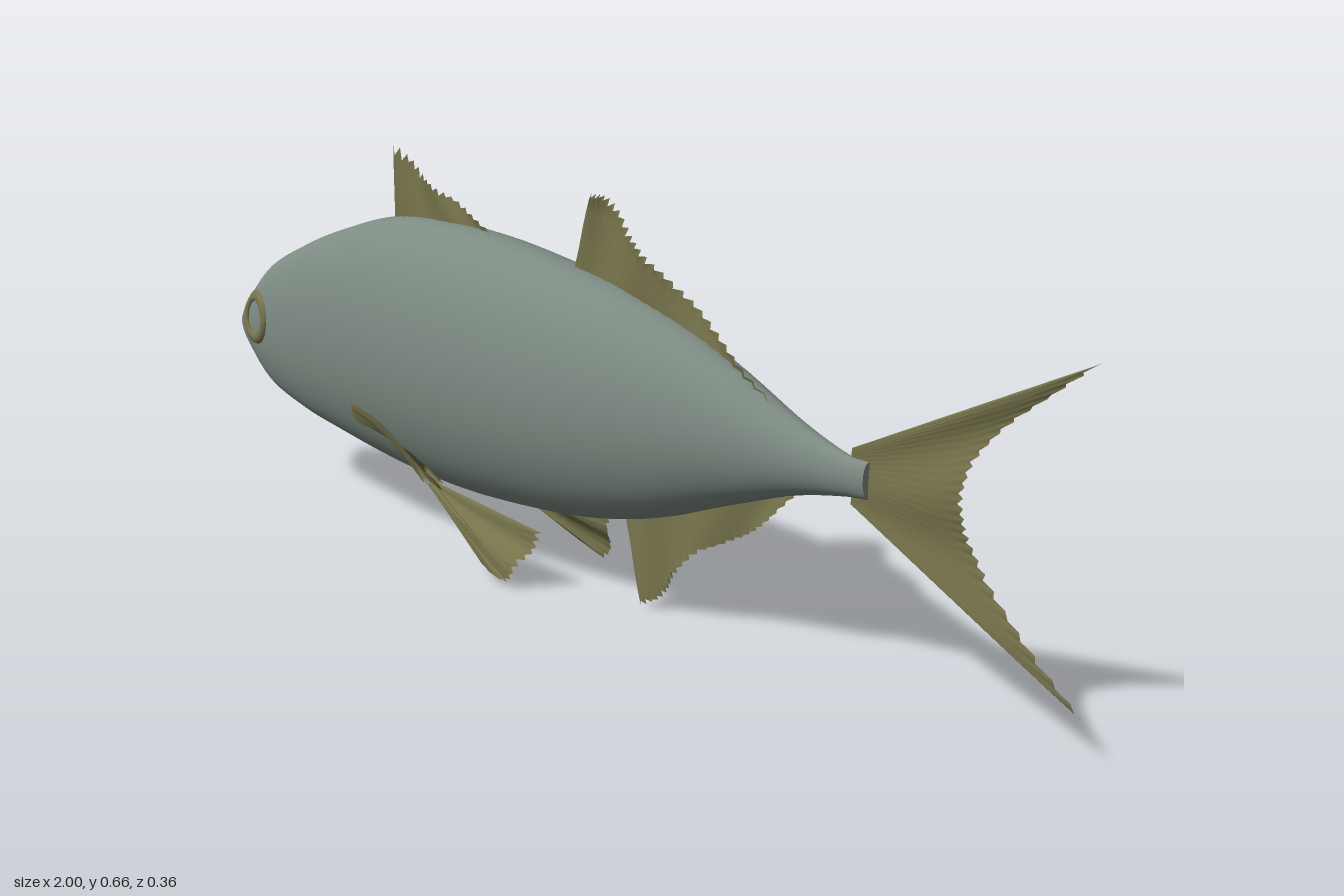
import * as THREE from 'three';

const skin = new THREE.MeshStandardMaterial({ color: 0x7d8b83 });
skin.name = 'grey skin';
const olive = new THREE.MeshStandardMaterial({ color: 0x77744c, side: THREE.DoubleSide });
olive.name = 'olive fin';

// Body stations from nose to tail: x, top, bottom, half width
const stations = [
  [-1, 0.295, 0.26, 0.012], [-0.965, 0.335, 0.23, 0.03], [-0.9, 0.397, 0.178, 0.045],
  [-0.8, 0.447, 0.15, 0.061], [-0.7, 0.487, 0.135, 0.078], [-0.55, 0.532, 0.117, 0.102],
  [-0.4, 0.544, 0.106, 0.115], [-0.25, 0.541, 0.106, 0.117], [-0.05, 0.517, 0.122, 0.11],
  [0.12, 0.483, 0.157, 0.092], [0.28, 0.43, 0.212, 0.064], [0.42, 0.374, 0.258, 0.036],
  [0.52, 0.344, 0.279, 0.018], [0.57, 0.34, 0.284, 0.012],
];
const spline = (pts) => new THREE.CatmullRomCurve3(pts, false, 'catmullrom', 0.5);
const outline = spline(stations.map(([x, t, b]) => new THREE.Vector3(x, t, b)));
const widths = spline(stations.map(([x, , , w]) => new THREE.Vector3(x, w, 0)));

function section(t) {
  const p = outline.getPoint(t);
  return { x: p.x, mid: (p.y + p.z) / 2, h: (p.y - p.z) / 2, w: widths.getPoint(t).y };
}

// Half width of the body at a point of its side
function sideZ(x, y) {
  let lo = 0, hi = 1;
  for (let i = 0; i < 30; i++) {
    const m = (lo + hi) / 2;
    if (section(m).x < x) lo = m; else hi = m;
  }
  const s = section(lo);
  return s.w * Math.sqrt(Math.max(0, 1 - ((y - s.mid) / s.h) ** 2));
}

function surface(positions, indices) {
  const g = new THREE.BufferGeometry();
  g.setAttribute('position', new THREE.Float32BufferAttribute(positions, 3));
  g.setIndex(indices);
  g.computeVertexNormals();
  return g;
}

// Elliptical sections lofted along the body
function bodyGeometry(rows = 72, sides = 48) {
  const pos = [], idx = [];
  for (let i = 0; i <= rows; i++) {
    const s = section(i / rows);
    for (let j = 0; j < sides; j++) {
      const a = (j / sides) * Math.PI * 2;
      pos.push(s.x, s.mid + s.h * Math.cos(a), s.w * Math.sin(a));
      if (i === rows) continue;
      const k = (j + 1) % sides, p = i * sides;
      idx.push(p + j, p + k, p + sides + j, p + k, p + sides + k, p + sides + j);
    }
  }
  const nose = pos.length / 3;
  pos.push(-1.003, 0.277, 0);
  for (let j = 0; j < sides; j++) idx.push(nose, (j + 1) % sides, j);
  return surface(pos, idx);
}

// Rayed membrane between a base line and a ragged outer edge
function finGeometry(base, edge, rays, ripple, ragged = 0.05, bow = [0, 0, 0]) {
  const curve = (pts) => spline(pts.map(([x, y, z = 0]) => new THREE.Vector3(x, y, z)));
  const a = curve(base), b = curve(edge), steps = 6, n = rays * 2;
  const wave = new THREE.Vector3(...ripple), bulge = new THREE.Vector3(...bow);
  const pos = [], idx = [];
  for (let i = 0; i <= n; i++) {
    const t = i / n;
    const from = a.getPoint(t);
    const reach = i % 2 ? 1 - ragged * (0.7 + 0.3 * Math.sin(i * 2.3)) : 1;
    const to = b.getPoint(t).sub(from).multiplyScalar(reach).add(from);
    for (let j = 0; j <= steps; j++) {
      const s = j / steps;
      const p = from.clone().lerp(to, s);
      p.addScaledVector(wave, s * (Math.sin(t * 13 + s * 2) * 0.8 + (i % 2 ? 0.35 : -0.35)));
      p.addScaledVector(bulge, Math.sin(Math.PI * s));
      pos.push(p.x, p.y, p.z);
      if (i === n || j === steps) continue;
      const k = i * (steps + 1) + j, m = k + steps + 1;
      idx.push(k, m, k + 1, m, m + 1, k + 1);
    }
  }
  return surface(pos, idx);
}

// Flattened ring laid onto the side of the head
function eyeGeometry() {
  const g = new THREE.TorusGeometry(0.038, 0.01, 10, 40);
  const p = g.attributes.position;
  for (let i = 0; i < p.count; i++) {
    const x = p.getX(i) - 0.915, y = p.getY(i) + 0.303;
    p.setXYZ(i, x, y, sideZ(x, y) + p.getZ(i) * 0.6);
  }
  g.computeVertexNormals();
  return g;
}

export function createModel() {
  const model = new THREE.Group();
  model.name = 'fish';
  const add = (name, geometry, material, parent = model) => {
    const mesh = new THREE.Mesh(geometry, material);
    mesh.name = name;
    parent.add(mesh);
    return mesh;
  };

  add('body', bodyGeometry(), skin);
  const stub = add('tailStub', new THREE.CircleGeometry(1, 32), skin);
  stub.scale.set(0.012, 0.028, 1);
  stub.rotation.y = Math.PI / 2;
  stub.position.set(0.57, 0.312, 0);

  // Fins on the centre line
  add('frontDorsalFin', finGeometry(
    [[-0.55, 0.5], [-0.46, 0.52], [-0.38, 0.53], [-0.29, 0.53]],
    [[-0.548, 0.66], [-0.47, 0.612], [-0.39, 0.582], [-0.28, 0.542]],
    16, [0, 0, 0.006], 0.13), olive);
  add('rearDorsalFin', finGeometry(
    [[-0.09, 0.5], [-0.06, 0.5], [-0.03, 0.5], [0.03, 0.48], [0.13, 0.46], [0.24, 0.42], [0.36, 0.38]],
    [[-0.035, 0.645], [-0.005, 0.637], [0.05, 0.593], [0.11, 0.555], [0.19, 0.505], [0.28, 0.447], [0.38, 0.388]],
    26, [0, 0, 0.01], 0.07), olive);
  add('analFin', finGeometry(
    [[0.035, 0.16], [0.06, 0.16], [0.1, 0.17], [0.17, 0.19], [0.25, 0.22], [0.33, 0.245], [0.41, 0.28]],
    [[0.083, 0.005], [0.12, 0.027], [0.15, 0.065], [0.21, 0.12], [0.28, 0.155], [0.35, 0.195], [0.42, 0.255]],
    24, [0, 0, 0.009], 0.06), olive);
  add('tailFin', finGeometry(
    [[0.535, 0.354], [0.535, 0.34], [0.535, 0.312], [0.535, 0.285], [0.535, 0.27]],
    [[0.993, 0.563], [0.8, 0.42], [0.755, 0.312], [0.8, 0.215], [0.993, 0.06]],
    26, [0, 0, 0.007], 0.03), olive);

  // Eyes and paired fins, built on the left side and mirrored
  const pectoral = finGeometry(
    [[-0.55, 0.228, 0.098], [-0.55, 0.215, 0.097], [-0.545, 0.195, 0.094]],
    [[-0.258, 0.19, 0.18], [-0.258, 0.163, 0.165], [-0.268, 0.148, 0.13], [-0.3, 0.135, 0.095]],
    14, [0, 0.008, 0.003], 0.04, [0, 0.012, 0]);
  const pelvic = finGeometry(
    [[-0.39, 0.122, 0.06], [-0.385, 0.118, 0.062], [-0.38, 0.112, 0.066]],
    [[-0.078, 0.1, 0.07], [-0.1, 0.055, 0.09], [-0.13, 0.015, 0.108], [-0.18, 0.03, 0.106]],
    12, [0, 0.002, 0.006], 0.04);
  const eye = eyeGeometry();
  const filaments = [0, 0.008].map((d) => new THREE.TubeGeometry(spline([
    new THREE.Vector3(-0.42, 0.17 - d, 0.083), new THREE.Vector3(-0.35, 0.145 - d, 0.095 + d / 2),
    new THREE.Vector3(-0.27, 0.105 - d, 0.1 + d / 3), new THREE.Vector3(-0.18, 0.05, 0.1),
  ]), 24, 0.0008, 5));

  for (const side of ['left', 'right']) {
    const half = new THREE.Group();
    half.name = side + 'Side';
    half.scale.z = side === 'left' ? 1 : -1;
    add(side + 'Eye', eye, olive, half);
    add(side + 'PectoralFin', pectoral, olive, half);
    add(side + 'PelvicFin', pelvic, olive, half);
    filaments.forEach((f, i) => add(side + 'Filament' + (i + 1), f, olive, half));
    model.add(half);
  }
  return model;
}
